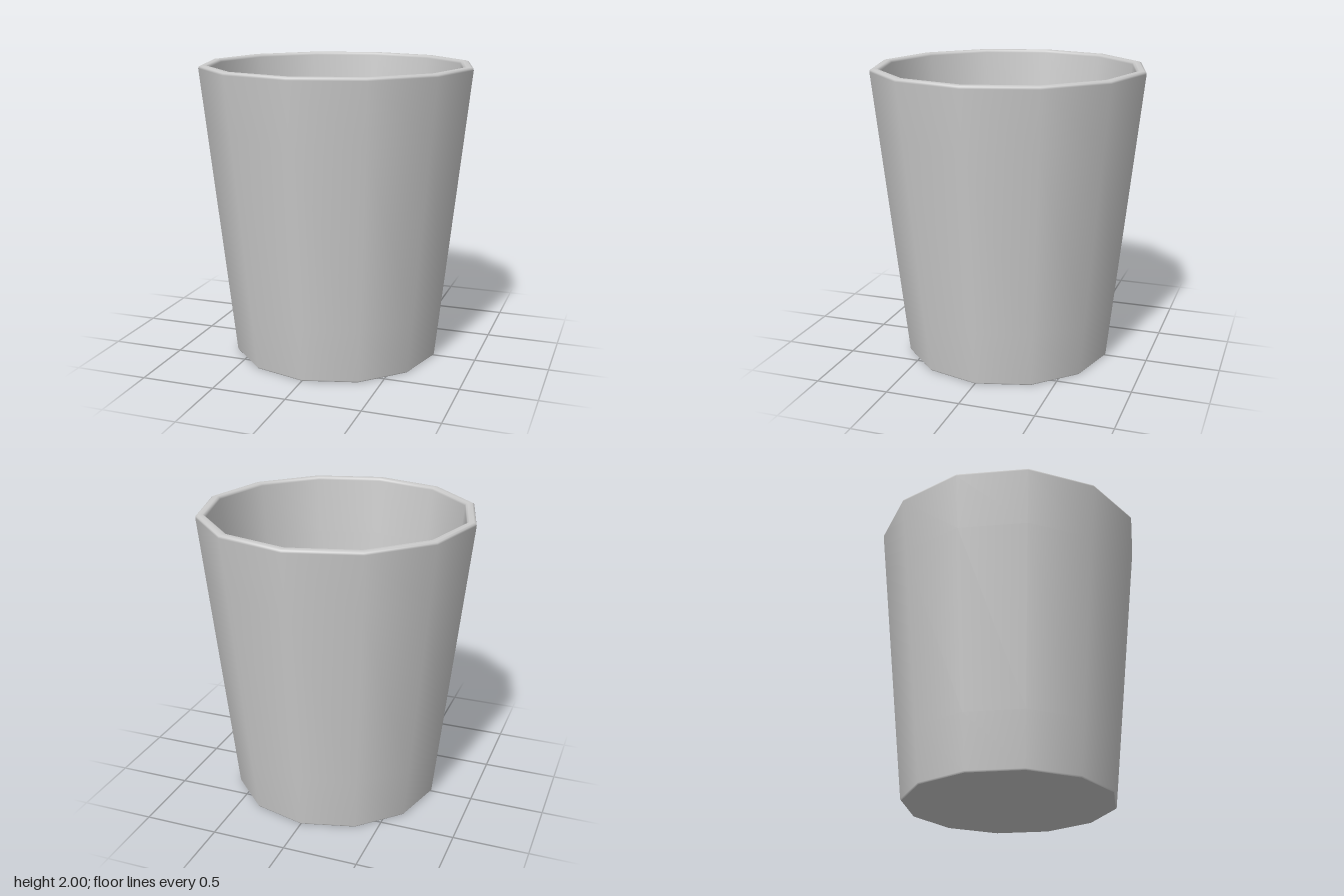
import * as THREE from 'three';

const SIDES = 12;

export function createModel() {
  const group = new THREE.Group();
  group.name = 'cup';
  const material = new THREE.MeshStandardMaterial({ color: 0xcccccc });

  const add = (name, geometry) => {
    const mesh = new THREE.Mesh(geometry, material);
    mesh.name = name;
    group.add(mesh);
    return mesh;
  };

  // Tapered wall: up the outside, over the rounded rim, down the inside
  const profile = [
    [0.705, 0], [0.712, 0.01], [0.751, 0.37], [0.884, 1.6], [0.925, 1.98],
    [0.922, 1.993], [0.908, 2], [0.878, 2], [0.865, 1.993], [0.86, 1.98],
    [0.82, 1.6], [0.685, 0.37], [0.65, 0.13], [0.63, 0.1], [0.58, 0.08],
  ].map(([r, y]) => new THREE.Vector2(r, y));
  add('wall', new THREE.LatheGeometry(profile, SIDES));

  // Flat discs: the inside floor and the underside
  const disc = (name, radius, y, facing) => {
    const geometry = new THREE.CircleGeometry(radius, SIDES);
    geometry.rotateX(-facing * Math.PI / 2);
    add(name, geometry).position.y = y;
  };
  disc('innerFloor', 0.58, 0.08, 1);
  disc('underside', 0.705, 0, -1);

  return group;
}
